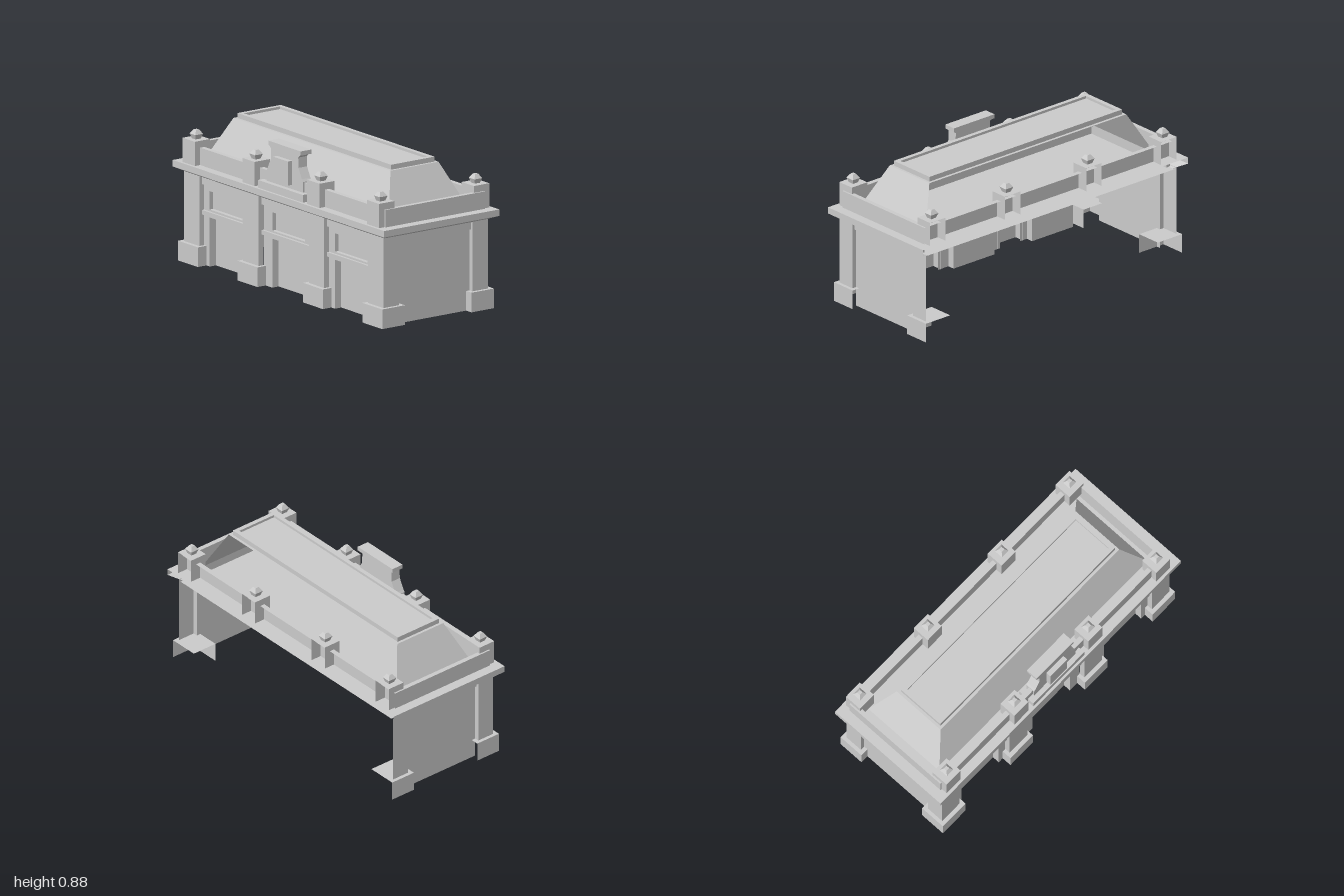
import * as THREE from 'three';

const material = new THREE.MeshStandardMaterial({ color: 0xcccccc, flatShading: true, side: THREE.DoubleSide });
const SIDES = ['right', 'left', 'top', 'bottom', 'front', 'back'];

export function createModel() {
  const root = new THREE.Group();

  function add(name, geometry, x = 0, y = 0, z = 0) {
    const mesh = new THREE.Mesh(geometry, material);
    mesh.name = name;
    mesh.position.set(x, y, z);
    root.add(mesh);
    return mesh;
  }

  // Box between two corners; the listed sides are left open
  function box(name, [x0, x1], [y0, y1], [z0, z1], open = []) {
    const g = new THREE.BoxGeometry(x1 - x0, y1 - y0, z1 - z0);
    const index = Array.from(g.index.array);
    g.setIndex(index.filter((_, i) => !open.includes(SIDES[Math.floor(i / 6)])));
    g.clearGroups();
    return add(name, g, (x0 + x1) / 2, (y0 + y1) / 2, (z0 + z1) / 2);
  }

  // Sloping skirt between two rectangles, open at the back
  function skirt(name, [ax, ay, az], [bx, by, bz]) {
    const ring = (x, y, z) => [[-x, y, -z], [-x, y, z], [x, y, z], [x, y, -z]];
    const low = ring(ax, ay, az), high = ring(bx, by, bz), pos = [];
    for (let i = 0; i < 3; i++) {
      pos.push(...low[i], ...low[i + 1], ...high[i + 1], ...low[i], ...high[i + 1], ...high[i]);
    }
    const g = new THREE.BufferGeometry();
    g.setAttribute('position', new THREE.Float32BufferAttribute(pos, 3));
    g.computeVertexNormals();
    return add(name, g);
  }

  const rect = (Type, x0, x1, y0, y1) => {
    const s = new Type();
    s.moveTo(x0, y0);
    s.lineTo(x1, y0);
    s.lineTo(x1, y1);
    s.lineTo(x0, y1);
    s.closePath();
    return s;
  };

  // Rectangular frame in the ground plane, given outer and inner half sizes
  const frame = (x, z, hx, hz) => {
    const s = rect(THREE.Shape, -x, x, -z, z);
    s.holes.push(rect(THREE.Path, -hx, hx, -hz, hz));
    return s;
  };
  const layFlat = (mesh) => { mesh.rotation.x = -Math.PI / 2; };

  // Front bays: thin wall with window and doorway recesses, sill and frieze
  for (const [cx, half] of [[-0.592, 0.208], [0, 0.235], [0.592, 0.208]]) {
    const d = 0.155, opening = [cx - d, cx + d], width = [cx - half, cx + half];
    const wall = new THREE.Shape();
    [[-half, 0], [-d, 0], [-d, 0.287], [d, 0.287], [d, 0], [half, 0], [half, 0.516], [-half, 0.516]]
      .forEach(([x, y], i) => (i ? wall.lineTo(x, y) : wall.moveTo(x, y)));
    wall.holes.push(rect(THREE.Path, -d, d, 0.334, 0.442));
    add('bayWall', new THREE.ShapeGeometry(wall), cx, 0, 0.335);
    box('windowRecess', opening, [0.334, 0.442], [0.31, 0.335], ['front']);
    box('doorRecess', opening, [0, 0.287], [0.29, 0.335], ['front', 'bottom']);
    box('baySill', width, [0.297, 0.323], [0.335, 0.35], ['back']);
    box('bayFrieze', width, [0.474, 0.516], [0.335, 0.35], ['back', 'top']);
  }

  // Front pillars on plinths
  for (const x of [-0.872, -0.31, 0.31, 0.872]) {
    const corner = Math.abs(x) > 0.5;
    box('frontPillar', [x - 0.073, x + 0.073], [0.115, 0.525], [0.335, 0.37], ['back', 'bottom', 'top']);
    box('frontPlinth', [x - 0.094, x + 0.094], [0, 0.115], [corner ? 0.235 : 0.33, 0.395], ['back', 'bottom']);
  }

  // End walls, corner pillar returns, rear pillars and plinths
  for (const s of [-1, 1]) {
    const span = (a, b) => (s > 0 ? [a, b] : [-b, -a]);
    const inner = s > 0 ? 'left' : 'right';
    const wall = add('endWall', new THREE.PlaneGeometry(0.52, 0.516), s * 0.917, 0.258, 0);
    wall.rotation.y = s * Math.PI / 2;
    box('endFrieze', span(0.917, 0.93), [0.474, 0.516], [-0.26, 0.26], [inner, 'top']);
    box('pillarReturn', span(0.917, 0.945), [0.115, 0.525], [0.26, 0.335], ['front', 'bottom', 'top', inner]);
    box('rearPillar', span(0.917, 0.945), [0.115, 0.525], [-0.37, -0.26], ['back', 'bottom', 'top', inner]);
    box('rearPlinth', span(0.783, 0.967), [0, 0.115], [-0.395, -0.235], ['back', 'bottom', inner]);
  }

  // Cornice band, its top ledge, sloped soffit and the ceiling
  box('corniceBand', [-1, 1], [0.545, 0.583], [-0.408, 0.408], ['back', 'bottom', 'top']);
  layFlat(add('corniceLedge', new THREE.ShapeGeometry(frame(1, 0.408, 0.912, 0.322)), 0, 0.583, 0));
  skirt('corniceSoffit', [0.93, 0.516, 0.35], [1, 0.545, 0.408]);
  layFlat(add('ceiling', new THREE.PlaneGeometry(1.86, 0.72), 0, 0.518, -0.01));

  // Parapet around the roof; the rear one is open behind
  box('frontParapet', [-0.94, 0.94], [0.518, 0.685], [0.322, 0.352], ['bottom']);
  box('rearParapet', [-0.94, 0.94], [0.583, 0.685], [-0.352, -0.322], ['back', 'bottom']);
  for (const x of [-0.926, 0.926]) {
    box('endParapet', [x - 0.014, x + 0.014], [0.518, 0.685], [-0.322, 0.322], ['bottom']);
  }

  // Pedestals with four-sided finials
  for (const z of [0.336, -0.335]) {
    for (const x of [-0.872, -0.307, 0.307, 0.872]) {
      box('pedestal', [x - 0.058, x + 0.058], [0.583, 0.725], [z - 0.054, z + 0.054],
        z < 0 ? ['back', 'bottom'] : ['bottom']);
      const r = Math.SQRT1_2;
      const lower = new THREE.CylinderGeometry(0.055 * r, 0.036 * r, 0.028, 4, 1, true);
      const upper = new THREE.CylinderGeometry(0.022 * r, 0.055 * r, 0.025, 4);
      add('finialBase', lower, x, 0.739, z).rotation.y = Math.PI / 4;
      add('finialCap', upper, x, 0.7655, z).rotation.y = Math.PI / 4;
    }
  }

  // Hipped roof and flat top with a rimmed, sunken panel
  skirt('roofSlopes', [0.866, 0.605, 0.275], [0.743, 0.846, 0.17]);
  layFlat(add('roofLedge', new THREE.ShapeGeometry(frame(0.743, 0.17, 0.727, 0.153)), 0, 0.846, 0));
  const rim = new THREE.ExtrudeGeometry(frame(0.727, 0.153, 0.7, 0.127), { depth: 0.029, bevelEnabled: false });
  layFlat(add('roofRim', rim, 0, 0.846, 0));
  layFlat(add('roofPanel', new THREE.PlaneGeometry(1.4, 0.254), 0, 0.86, 0));

  // Central gable ornament: base, shouldered body, cap and blank plaque
  box('gableBase', [-0.212, 0.212], [0.583, 0.628], [0.283, 0.393]);
  const half = [[0.172, 0.628], [0.172, 0.69], [0.162, 0.705], [0.13, 0.765], [0.128, 0.825], [0.148, 0.841]];
  const outline = [...half, ...half.map(([x, y]) => [-x, y]).reverse()].map(([x, y]) => new THREE.Vector2(x, y));
  add('gableBody', new THREE.ExtrudeGeometry(new THREE.Shape(outline), { depth: 0.061, bevelEnabled: false }), 0, 0, 0.302);
  box('gableCap', [-0.153, 0.153], [0.841, 0.866], [0.289, 0.364]);
  box('gablePlaque', [-0.07, 0.07], [0.653, 0.794], [0.36, 0.393]);

  return root;
}
